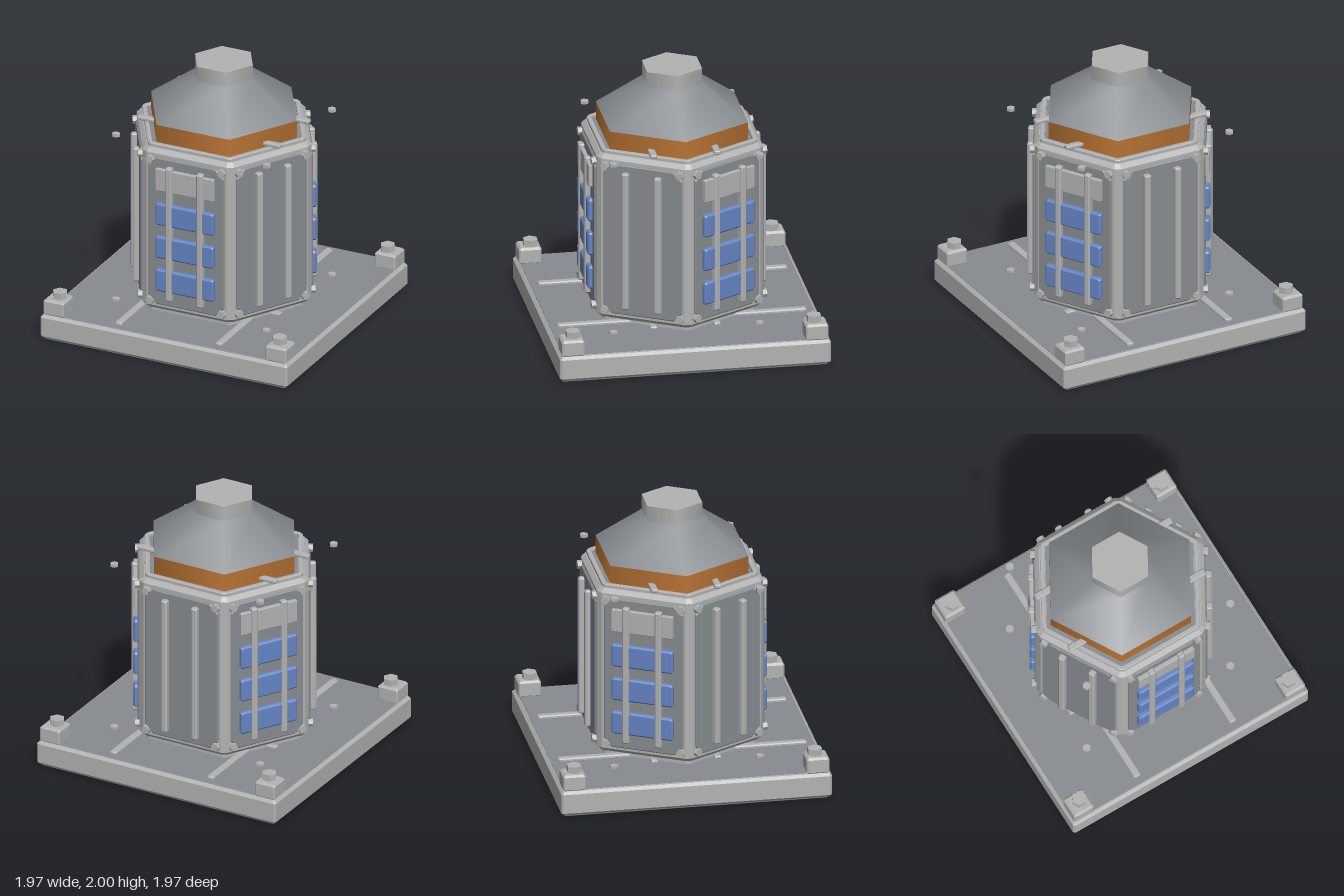
import * as THREE from 'three';

const mat = (name, color) => {
  const m = new THREE.MeshStandardMaterial({ color });
  m.name = name;
  return m;
};

export function createModel() {
  const grey = mat('light grey', 0xb2b2b2);
  const slate = mat('slate grey', 0x878c90);
  const blue = mat('blue', 0x6585c4);
  const copper = mat('copper', 0xb87333);

  const model = new THREE.Group();
  model.name = 'hexagonalTower';

  const add = (parent, name, geo, material, x = 0, y = 0, z = 0) => {
    const m = new THREE.Mesh(geo, material);
    m.name = name;
    m.position.set(x, y, z);
    parent.add(m);
    return m;
  };

  // Extrusion with chamfered rims, centred on the origin, final size includes the chamfer
  const extrude = (shape, depth, bevel) => {
    const g = new THREE.ExtrudeGeometry(shape, {
      depth: depth - 2 * bevel, bevelEnabled: bevel > 0, bevelSize: bevel,
      bevelThickness: bevel, bevelOffset: -bevel, bevelSegments: 1,
    });
    return g.translate(0, 0, -depth / 2 + bevel);
  };

  // Rectangular plate facing +z with cut corners
  const plate = (w, h, d, bevel = 0.01, cut = 0.01) => {
    const a = w / 2, b = h / 2, c = cut;
    const pts = [[a - c, -b], [a, -b + c], [a, b - c], [a - c, b],
      [-a + c, b], [-a, b - c], [-a, -b + c], [-a + c, -b]];
    return extrude(new THREE.Shape(pts.map((p) => new THREE.Vector2(...p))), d, bevel);
  };
  const slab = (w, d, h, bevel, cut) => plate(w, d, h, bevel, cut).rotateX(-Math.PI / 2);

  // Hexagon with points on the x axis and trimmed corners
  const hexPoints = (r, trim) => {
    const pts = [];
    for (let i = 0; i < 6; i++) {
      const a = (i * Math.PI) / 3;
      const here = new THREE.Vector2(Math.cos(a), Math.sin(a)).multiplyScalar(r);
      for (const s of [-1, 1]) {
        const next = new THREE.Vector2(Math.cos(a + s * Math.PI / 3), Math.sin(a + s * Math.PI / 3)).multiplyScalar(r);
        pts.push(here.clone().lerp(next, trim / r));
      }
    }
    return pts;
  };

  const hexCyl = (rTop, rBottom, h) =>
    new THREE.CylinderGeometry(rTop, rBottom, h, 6, 1, false, Math.PI / 6);
  const boltGeo = (r, h) => hexCyl(r, r, h).toNonIndexed();
  const flatBolt = (r, h) => { const g = boltGeo(r, h); g.computeVertexNormals(); return g; };

  // Base
  const base = new THREE.Group();
  base.name = 'base';
  model.add(base);
  add(base, 'baseSlab', slab(1.97, 1.97, 0.185, 0.02, 0.015), grey, 0, 0.1025);
  add(base, 'baseDeck', slab(1.92, 1.92, 0.02, 0.004, 0.01), slate, 0, 0.19);
  add(base, 'baseUnderside', slab(1.92, 1.92, 0.02, 0.004, 0.01), slate, 0, 0.01);
  for (const sx of [-1, 1]) {
    add(base, 'deckRail', slab(0.055, 1.81, 0.03, 0.008, 0.01), grey, sx * 0.4, 0.205);
    for (const sz of [-1, 1]) {
      add(base, 'cornerBlock', slab(0.165, 0.165, 0.125, 0.015, 0.01), grey, sx * 0.885, 0.25, sz * 0.885);
      add(base, 'cornerBolt', flatBolt(0.056, 0.05), grey, sx * 0.875, 0.335, sz * 0.875);
      for (const y of [0.205, 1.505]) {
        add(model, 'outerStud', flatBolt(0.031, 0.022), grey, sx * 0.6, y, sz * 0.53);
      }
      for (const y of [0.2, 1.528]) {
        add(model, 'clip', slab(0.14, 0.05, 0.03, 0.007, 0.006), grey, sx * 0.5, y, sz * 0.23);
      }
    }
  }

  // Hexagonal body with trimmed corners, foot and top rim
  const body = new THREE.Shape(hexPoints(0.698, 0.03));
  add(model, 'body', extrude(body, 1.26, 0.03).rotateX(-Math.PI / 2), grey, 0, 0.86);
  const foot = new THREE.Shape(hexPoints(0.645, 0.02));
  add(model, 'foot', extrude(foot, 0.06, 0.008).rotateX(-Math.PI / 2), grey, 0, 0.22);
  const rim = new THREE.Shape(hexPoints(0.655, 0.02));
  rim.holes.push(new THREE.Path(hexPoints(0.615, 0.01).reverse()));
  add(model, 'topRim', extrude(rim, 0.035, 0.005).rotateX(-Math.PI / 2), grey, 0, 1.4975);
  add(model, 'topDeck', hexCyl(0.612, 0.612, 0.02), slate, 0, 1.489);

  // Six sides, alternating blue-cell panels and ribbed panels
  for (let i = 0; i < 6; i++) {
    const side = new THREE.Group();
    side.name = i % 2 ? 'ribbedSide' : 'cellSide';
    side.rotation.y = (i * Math.PI) / 3;
    model.add(side);
    add(side, 'sidePanel', plate(0.6, 1.155, 0.04, 0.008, 0.065), slate, 0, 0.857, 0.598);
    for (const sx of [-1, 1]) {
      for (const y of [0.305, 1.415]) {
        add(side, 'panelBolt', flatBolt(0.031, 0.04).rotateX(Math.PI / 2), grey, sx * 0.285, y, 0.617);
      }
      add(side, 'rib', plate(0.05, 1.05, 0.05, 0.01, 0.008), grey, sx * 0.123, 0.86, 0.635);
    }
    if (i % 2 === 0) {
      for (const y of [0.485, 0.745, 1.005]) {
        add(side, 'blueCell', plate(0.465, 0.172, 0.05, 0.012, 0.012), blue, 0, y, 0.626);
      }
      add(side, 'junctionBox', plate(0.465, 0.17, 0.045, 0.004, 0.004), grey, 0, 1.275, 0.624);
    }
  }

  // Roof: copper band, sloping roof and chimney cap
  add(model, 'copperBand', hexCyl(0.58, 0.58, 0.14), copper, 0, 1.563);
  add(model, 'roofCone', hexCyl(0.23, 0.58, 0.253), slate, 0, 1.7595);
  add(model, 'topCap', hexCyl(0.23, 0.23, 0.114), grey, 0, 1.943);

  return model;
}
